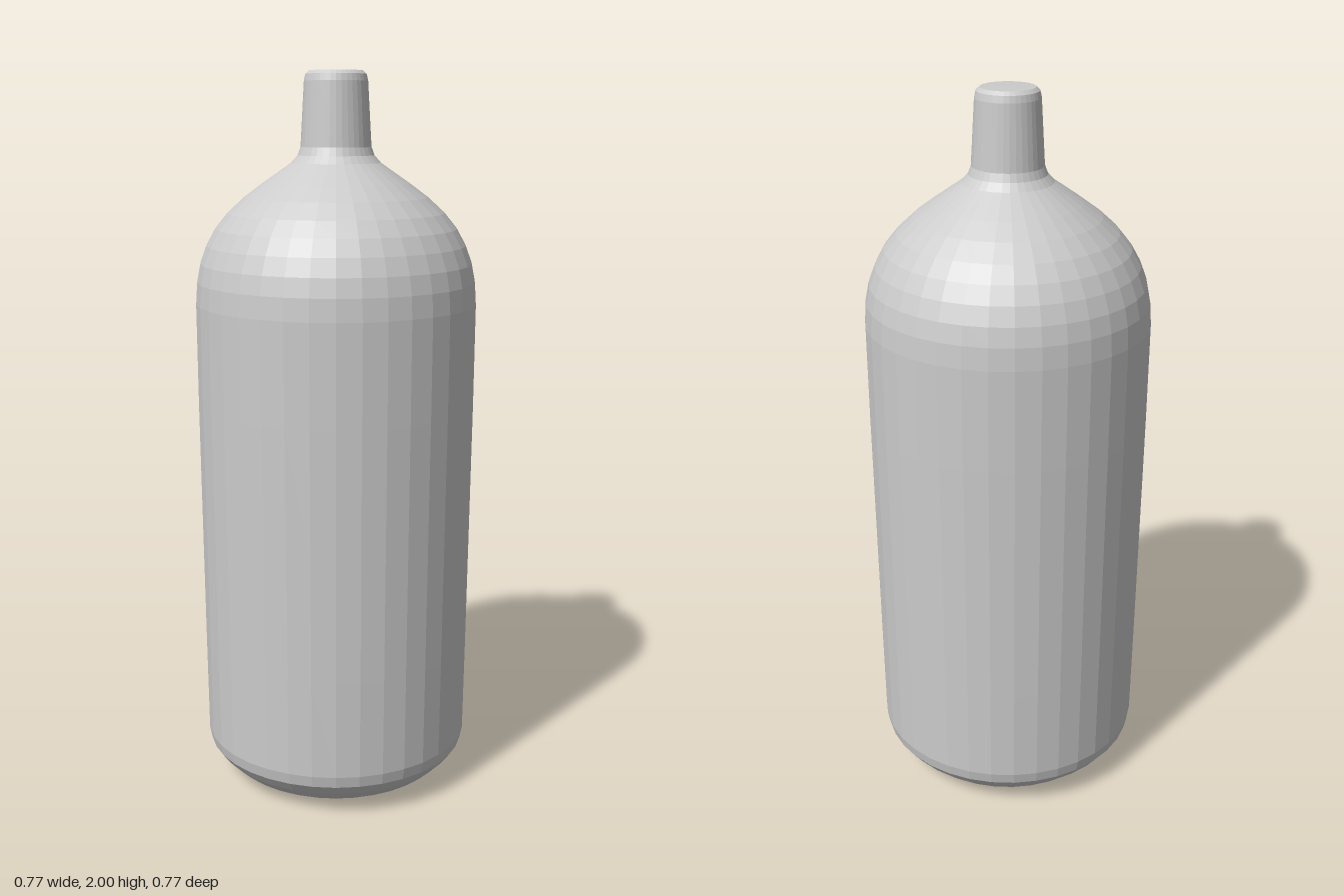
import * as THREE from 'three';

const SIDES = 36;

// Revolves a [radius, height] profile, listed from bottom to top.
function turned(name, profile, material) {
  const points = profile.map(([r, y]) => new THREE.Vector2(r, y));
  const mesh = new THREE.Mesh(new THREE.LatheGeometry(points, SIDES), material);
  mesh.name = name;
  return mesh;
}

export function createModel() {
  const material = new THREE.MeshStandardMaterial({ color: 0xcccccc, flatShading: true });
  const model = new THREE.Group();
  model.name = 'bottle';

  // Flat underside with a broad bevel up to the wall
  const base = [
    [0, 0], [0.235, 0.002], [0.275, 0.012], [0.31, 0.032],
    [0.345, 0.065], [0.37, 0.097], [0.377, 0.13],
  ];
  // Nearly straight wall, slightly wider towards the top
  const wall = [[0.38, 0.4], [0.383, 0.75], [0.386, 1.1], [0.387, 1.38]];
  // Domed shoulder flaring into the neck
  const shoulder = [
    [0.383, 1.44], [0.373, 1.49], [0.355, 1.538], [0.33, 1.583], [0.296, 1.625],
    [0.25, 1.667], [0.2, 1.704], [0.155, 1.735], [0.122, 1.758], [0.104, 1.778], [0.096, 1.8],
  ];
  model.add(turned('body', [...base, ...wall, ...shoulder], material));

  // Tapered neck with a softly rounded, closed top
  model.add(turned('neck', [
    [0.096, 1.8], [0.093, 1.85], [0.089, 1.92], [0.086, 1.972],
    [0.082, 1.99], [0.072, 1.999], [0, 2],
  ], material));

  return model;
}
